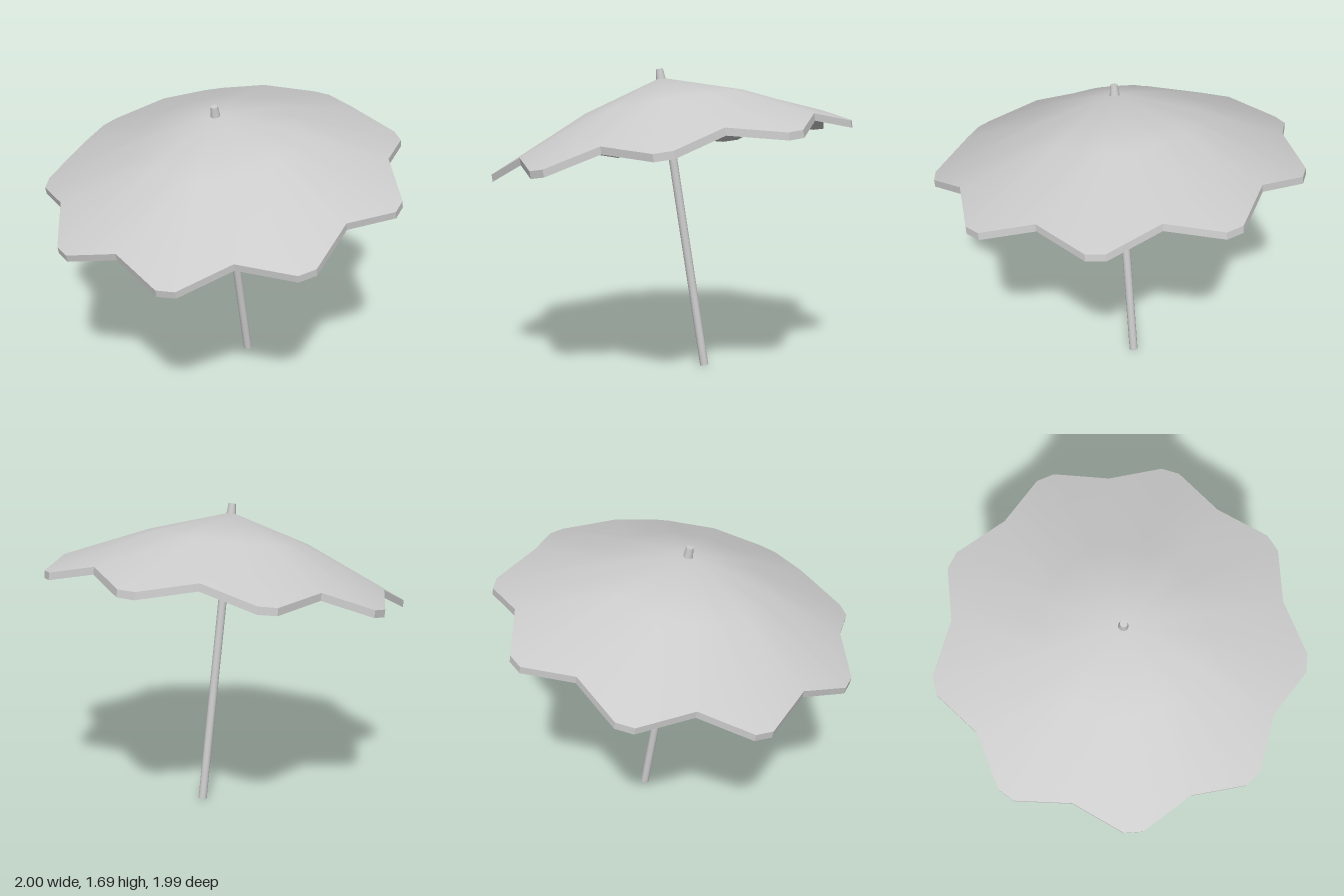
import * as THREE from 'three';

const LOBES = 9, THICKNESS = 0.04;

// Scalloped rim: each lobe has a blunt two-point tip and a raised valley.
function rimPoints() {
  const points = [];
  for (let i = 0; i < LOBES; i++) {
    const a = (i / LOBES) * Math.PI * 2;
    points.push({ a: a - 0.05, r: 1.018, y: 1.267 });
    points.push({ a: a + 0.05, r: 1.018, y: 1.267 });
    points.push({ a: a + Math.PI / LOBES, r: 0.905, y: 1.338 });
  }
  return points;
}

const place = (a, r, y) => [Math.sin(a) * r, y, -Math.cos(a) * r];

function buildGeometry(positions, indices) {
  const g = new THREE.BufferGeometry();
  g.setAttribute('position', new THREE.Float32BufferAttribute(positions, 3));
  g.setIndex(indices);
  return g;
}

// Apex, middle ring and scalloped rim, facing up or down.
function clothGeometry(rim, drop, up) {
  const n = rim.length, pos = [0, 1.66 - drop, 0], idx = [];
  rim.forEach(p => pos.push(...place(p.a, 0.45, 1.523 - drop)));
  rim.forEach(p => pos.push(...place(p.a, p.r, p.y - drop)));
  const tri = (a, b, c) => (up ? idx.push(a, b, c) : idx.push(a, c, b));
  for (let i = 0; i < n; i++) {
    const j = (i + 1) % n, m1 = 1 + i, m2 = 1 + j, o1 = m1 + n, o2 = m2 + n;
    tri(0, m2, m1);
    tri(m1, m2, o2);
    tri(m1, o2, o1);
  }
  const g = buildGeometry(pos, idx);
  g.computeVertexNormals();
  return g;
}

// Narrow faceted band joining the upper and lower cloth.
function edgeGeometry(rim) {
  const n = rim.length, pos = [], idx = [];
  rim.forEach(p => pos.push(...place(p.a, p.r, p.y), ...place(p.a, p.r, p.y - THICKNESS)));
  for (let i = 0; i < n; i++) {
    const t1 = 2 * i, t2 = 2 * ((i + 1) % n);
    idx.push(t1, t2, t2 + 1, t1, t2 + 1, t1 + 1);
  }
  const g = buildGeometry(pos, idx).toNonIndexed();
  g.computeVertexNormals();
  return g;
}

export function createModel() {
  const model = new THREE.Group();
  model.name = 'parasol';
  const material = new THREE.MeshStandardMaterial({ color: 0xcccccc });
  const add = (name, geometry, parent) => {
    const mesh = new THREE.Mesh(geometry, material);
    mesh.name = name;
    parent.add(mesh);
    return mesh;
  };

  // Everything shares one leaning axis through the foot of the pole
  const leaning = new THREE.Group();
  leaning.name = 'leaningParasol';
  leaning.position.set(0.202, 0.004, 0.02);
  leaning.rotation.z = 0.1623;
  model.add(leaning);

  // Pole and tapered finial
  add('pole', new THREE.CylinderGeometry(0.024, 0.024, 1.65, 16), leaning).position.y = 0.825;
  add('finial', new THREE.CylinderGeometry(0.02, 0.028, 0.07, 16), leaning).position.y = 1.674;

  // Canopy
  const canopy = new THREE.Group();
  canopy.name = 'canopy';
  leaning.add(canopy);
  const rim = rimPoints();
  add('canopyTop', clothGeometry(rim, 0, true), canopy);
  add('canopyUnderside', clothGeometry(rim, THICKNESS, false), canopy);
  add('canopyEdge', edgeGeometry(rim), canopy);

  return model;
}
